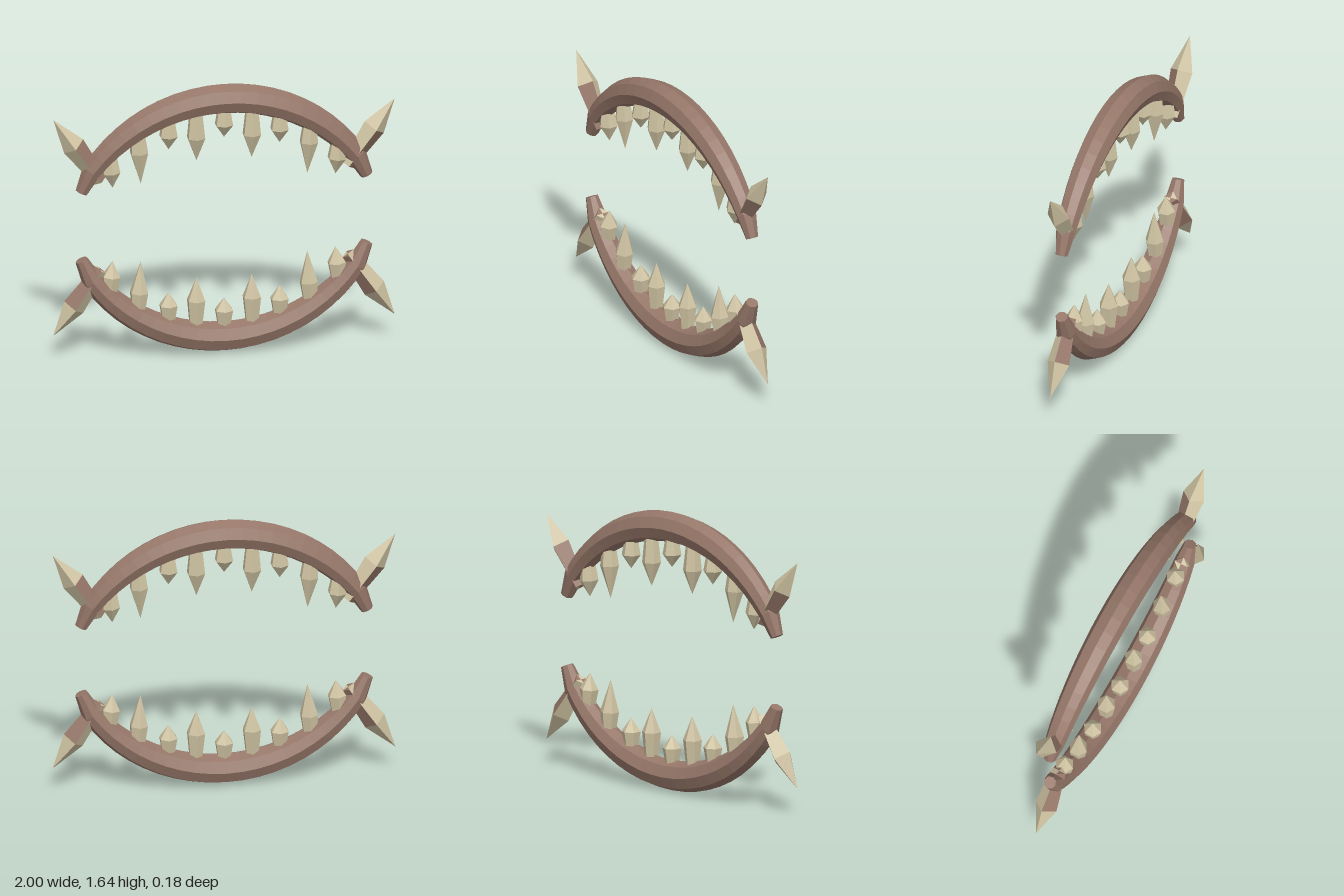
import * as THREE from 'three';

const SIDES = 8;
const MID_Y = 0.82; // the two jaws mirror each other about this height

function mesh(name, geometry, material) {
  const m = new THREE.Mesh(geometry, material);
  m.name = name;
  return m;
}

// Curved, tapered bar with octagonal cross-sections
function jawGeometry() {
  const R = 0.958, maxAngle = 0.942, steps = 20;
  const path = [[-0.835, 0.612, 0.037]];
  for (let i = 0; i <= steps; i++) {
    const u = (i / steps) * 2 - 1, a = u * maxAngle;
    path.push([R * Math.sin(a), 0.09 + R * (1 - Math.cos(a)), 0.09 - 0.03 * u * u]);
  }
  path.push([0.835, 0.612, 0.037]);

  const pos = [], index = [], last = path.length - 1;
  path.forEach(([x, y, r], i) => {
    const p = path[Math.max(i - 1, 0)], q = path[Math.min(i + 1, last)];
    const len = Math.hypot(q[0] - p[0], q[1] - p[1]);
    const tx = (q[0] - p[0]) / len, ty = (q[1] - p[1]) / len;
    for (let j = 0; j < SIDES; j++) {
      const a = (j / SIDES) * Math.PI * 2, n = r * Math.cos(a);
      pos.push(x - ty * n, y + tx * n, r * Math.sin(a));
    }
  });
  for (let i = 0; i < last; i++) {
    for (let j = 0; j < SIDES; j++) {
      const k = (j + 1) % SIDES;
      const a = i * SIDES + j, b = i * SIDES + k, c = a + SIDES, d = b + SIDES;
      index.push(a, b, c, b, d, c);
    }
  }
  // end caps
  const e = last * SIDES;
  for (let j = 1; j < SIDES - 1; j++) index.push(0, j + 1, j, e, e + j, e + j + 1);

  const g = new THREE.BufferGeometry();
  g.setAttribute('position', new THREE.Float32BufferAttribute(pos, 3));
  g.setIndex(index);
  g.computeVertexNormals();
  return g;
}

// Pointed crystal shape: narrow base, wider shoulder, sharp tip
function spike(sides, baseY, baseR, shoulderY, shoulderR, tipY) {
  const profile = [[0, baseY], [baseR, baseY], [shoulderR, shoulderY], [0, tipY]];
  return new THREE.LatheGeometry(profile.map(([x, y]) => new THREE.Vector2(x, y)), sides);
}

// Four-sided tusk whose shaft faces alternate between the two materials
function tuskGeometry() {
  const g = spike(4, -0.27, 0.042, 0, 0.068, 0.208);
  for (let s = 0; s < 4; s++) {
    g.addGroup(s * 18, 12, s % 2);
    g.addGroup(s * 18 + 12, 6, 1);
  }
  return g;
}

export function createModel() {
  const brown = new THREE.MeshStandardMaterial({ color: 0x967769, flatShading: true });
  brown.name = 'brown';
  const bone = new THREE.MeshStandardMaterial({ color: 0xd0c4a3, flatShading: true });
  bone.name = 'bone';

  // x, base y, shoulder y, tip y, sideways lean
  const teeth = [
    [0, 0.16, 0.25, 0.325, 0],
    [0.163, 0.17, 0.32, 0.46, 0.01],
    [0.325, 0.21, 0.30, 0.38, 0],
    [0.497, 0.26, 0.39, 0.58, 0.05],
    [0.66, 0.38, 0.50, 0.595, 0.08],
  ];
  const jawGeo = jawGeometry(), tuskGeo = tuskGeometry();

  function makeJaw(name) {
    const jaw = new THREE.Group();
    jaw.name = name;
    jaw.add(mesh('jawBone', jawGeo, brown));

    for (const [x, base, shoulder, tip, lean] of teeth) {
      for (const side of x === 0 ? [1] : [1, -1]) {
        const tooth = mesh('tooth', spike(6, base - shoulder, 0.04, 0, 0.056, tip - shoulder), bone);
        tooth.position.set(side * x, shoulder, 0);
        tooth.rotation.z = side * lean;
        jaw.add(tooth);
      }
    }

    // outward tusks at both jaw corners, turned half round from each other
    for (const turn of [0, Math.PI]) {
      const corner = new THREE.Group();
      corner.name = turn ? 'rightTusk' : 'leftTusk';
      const tusk = mesh('tusk', tuskGeo, [brown, bone]);
      tusk.position.set(0.88, 0.325, 0);
      tusk.rotation.z = Math.atan2(-0.577, -0.817);
      corner.add(tusk);
      corner.rotation.y = turn;
      jaw.add(corner);
    }
    return jaw;
  }

  const model = new THREE.Group();
  model.name = 'jaws';
  const lower = makeJaw('lowerJaw');
  const upper = makeJaw('upperJaw');
  upper.rotation.x = Math.PI;
  upper.position.y = MID_Y * 2;
  model.add(lower, upper);
  return model;
}
